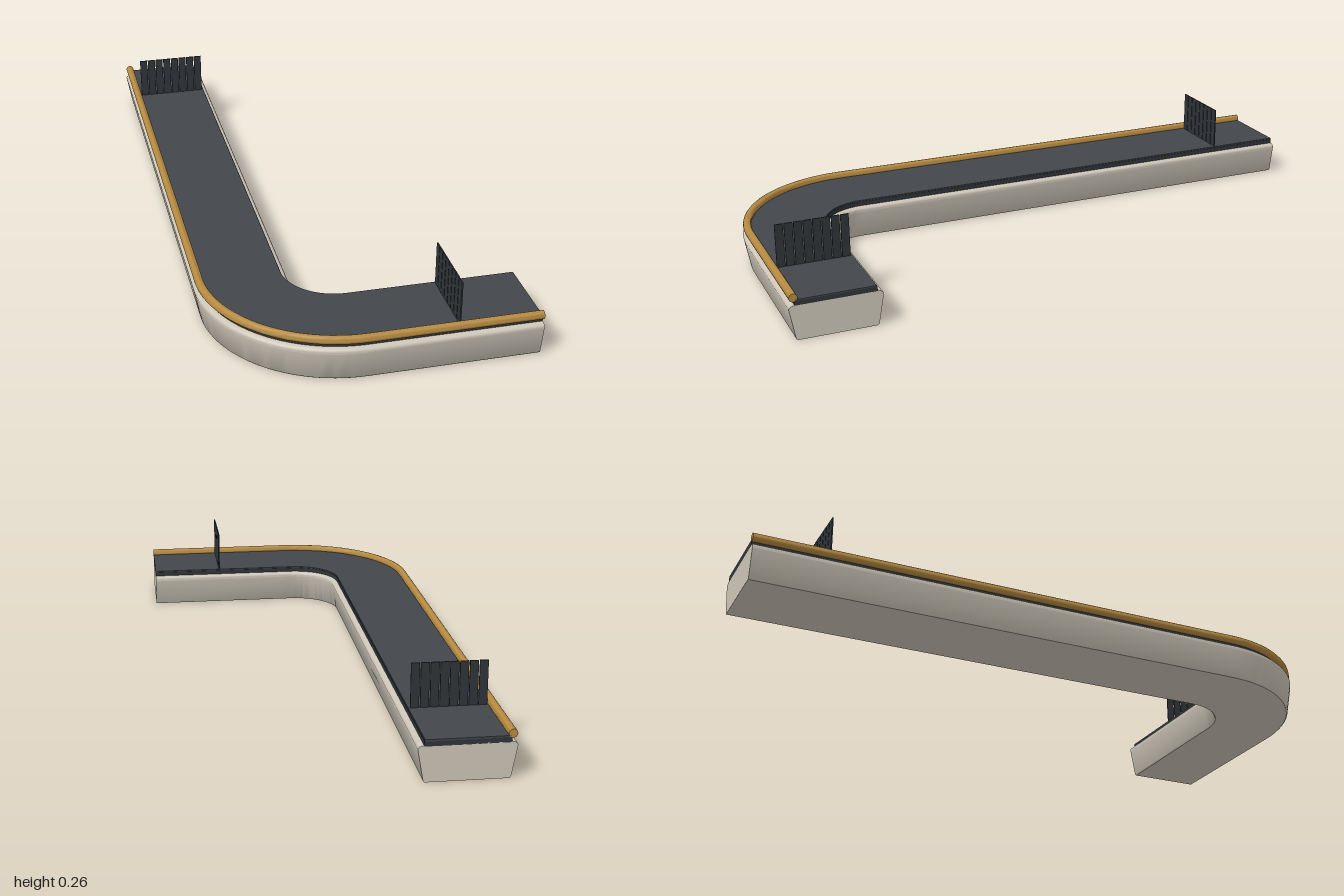
import * as THREE from 'three';
import { toCreasedNormals } from 'three/addons/utils/BufferGeometryUtils.js';

const mat = (name, color) => new THREE.MeshStandardMaterial({ name, color });

// Stations along the L-shaped centre line: position and outward direction
function stations() {
  const R = 0.28, cx = -0.045, cz = 0.58, n = 28;
  const list = [{ x: cx - R, z: -1, ox: -1, oz: 0 }];
  for (let i = 0; i <= n; i++) {
    const a = (i / n) * Math.PI / 2;
    const ox = -Math.cos(a), oz = Math.sin(a);
    list.push({ x: cx + R * ox, z: cz + R * oz, ox, oz });
  }
  list.push({ x: 0.465, z: cz + R, ox: 0, oz: 1 });
  return list;
}

// Sweeps a convex counter-clockwise profile of [outward offset, height] with end caps
function sweep(profile, crease) {
  const path = stations(), pos = [], last = path.length - 1, m = profile.length;
  const put = (i, j) => {
    const s = path[i], [o, y] = profile[j % m];
    pos.push(s.x + s.ox * o, y, s.z + s.oz * o);
  };
  for (let i = 0; i < last; i++) {
    for (let j = 0; j < m; j++) {
      put(i, j); put(i + 1, j); put(i + 1, j + 1);
      put(i, j); put(i + 1, j + 1); put(i, j + 1);
    }
  }
  for (let j = 1; j < m - 1; j++) {
    put(0, 0); put(0, j); put(0, j + 1);
    put(last, 0); put(last, j + 1); put(last, j);
  }
  const g = new THREE.BufferGeometry();
  g.setAttribute('position', new THREE.Float32BufferAttribute(pos, 3));
  return toCreasedNormals(g, crease);
}

// Mirrors the outer half of a profile (listed bottom to top)
const symmetric = half => [...half, ...half.map(([o, y]) => [-o, y]).reverse()];

export function createModel() {
  const group = new THREE.Group();
  const cream = mat('creamPanel', 0xcdc6b8);
  const belt = mat('beltGrey', 0x43474c);
  const dark = mat('darkRubber', 0x2f3438);
  const brass = mat('brass', 0xb58a41);

  const add = (name, geometry, material, parent = group) => {
    const mesh = new THREE.Mesh(geometry, material);
    mesh.name = name;
    parent.add(mesh);
    return mesh;
  };

  // Tapered base with a rounded top edge
  add('base', sweep(symmetric([
    [0.119, 0], [0.123, 0.004], [0.139, 0.092], [0.14, 0.099], [0.137, 0.104], [0.129, 0.108],
  ]), 0.7), cream);

  // Dark frame and the belt surface on top
  add('beltFrame', sweep(symmetric([[0.122, 0.106], [0.122, 0.122]]), 0.5), dark);
  add('beltSurface', sweep(symmetric([[0.12, 0.12], [0.12, 0.126]]), 0.5), belt);

  // Round rail along the outer edge
  const ring = Array.from({ length: 14 }, (_, i) => {
    const a = (i / 14) * Math.PI * 2;
    return [0.125 + 0.013 * Math.cos(a), 0.132 + 0.013 * Math.sin(a)];
  });
  add('outerRail', sweep(ring, 0.9), brass);

  // Strip curtains across the belt near both ends
  const strip = new THREE.BoxGeometry(0.0255, 0.136, 0.004);
  const curtain = (name, x, z, turn) => {
    const c = new THREE.Group();
    c.name = name;
    for (let i = 0; i < 8; i++) {
      add('curtainStrip', strip, dark, c).position.set((i - 3.5) * 0.0285, 0.194, 0);
    }
    c.position.set(x, 0, z);
    c.rotation.y = turn;
    group.add(c);
  };
  curtain('backCurtain', -0.323, -0.763, 0);
  curtain('frontCurtain', 0.224, 0.858, Math.PI / 2);

  return group;
}
